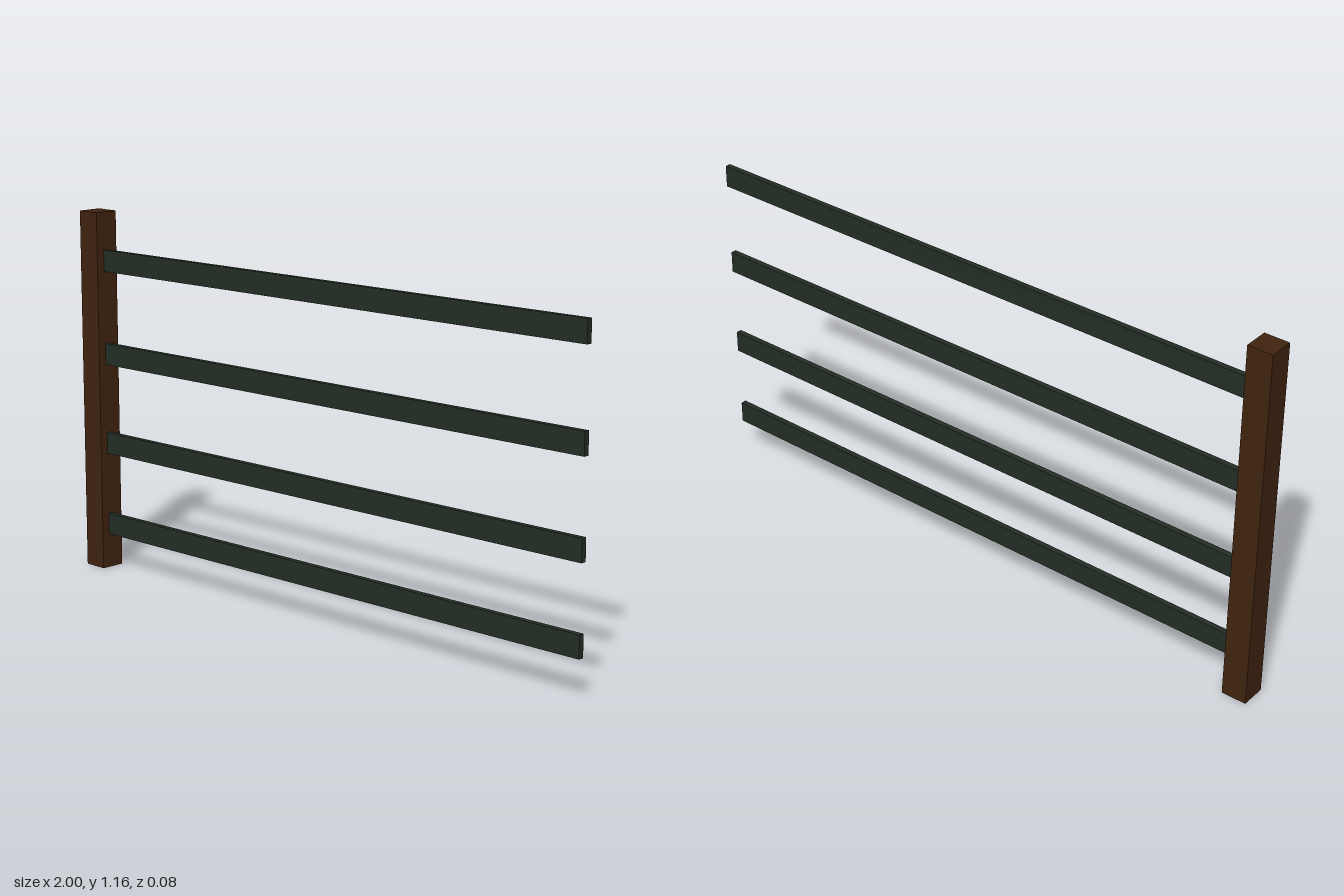
import * as THREE from 'three';

export function createModel() {
  const group = new THREE.Group();
  const brown = new THREE.MeshStandardMaterial({ name: 'brownWood', color: 0x40240f });
  const green = new THREE.MeshStandardMaterial({ name: 'darkGreenPaint', color: 0x232e25 });

  // Single square post at the right-hand end
  const postHeight = 1.163;
  const post = new THREE.Mesh(new THREE.BoxGeometry(0.08, postHeight, 0.08), brown);
  post.name = 'post';
  post.position.set(-0.96, postHeight / 2, 0);
  group.add(post);

  // Four rails set into the post, rising and drifting back very slightly towards the free end
  const start = -0.95, end = 1, slope = 0.0046;
  const railGeometry = new THREE.BoxGeometry(end - start, 0.069, 0.018);
  [0.15, 0.419, 0.711, 1.012].forEach((y, i) => {
    const rail = new THREE.Mesh(railGeometry, green);
    rail.name = `rail${i + 1}`;
    rail.position.set((start + end) / 2, y, 0);
    rail.rotation.set(0, slope, slope);
    group.add(rail);
  });

  return group;
}
